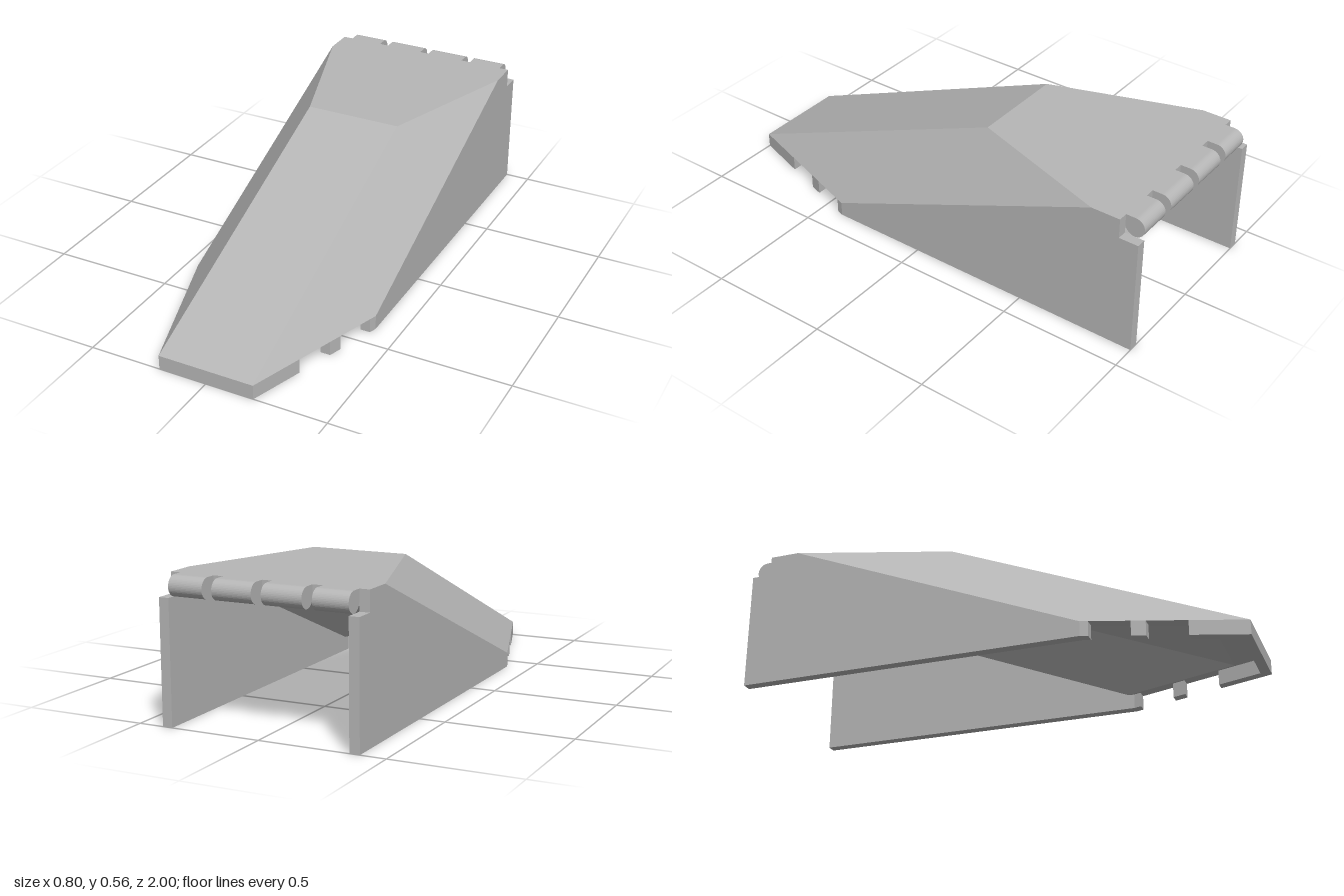
import * as THREE from 'three';

const grey = new THREE.MeshStandardMaterial({ color: 0xb6b6b6 });
grey.name = 'grey plastic';

function polygon(points) {
  return new THREE.Shape(points.map(([a, b]) => new THREE.Vector2(a, b)));
}

// Side profile in (z, y), extruded across x from x0 to x1
function across(shape, x0, x1) {
  return new THREE.ExtrudeGeometry(shape, { depth: x1 - x0, bevelEnabled: false, curveSegments: 16 })
    .rotateY(-Math.PI / 2).translate(x1, 0, 0);
}

// Floor plan in (x, z), raised from y = 0
function raised(plan, height) {
  return new THREE.ExtrudeGeometry(polygon(plan.map(([x, z]) => [x, -z])), { depth: height, bevelEnabled: false })
    .rotateX(-Math.PI / 2);
}

// Faceted roof slab: an outer skin and the same skin lowered inside
function roofGeometry() {
  const t = 0.06, run = 0.144; // thickness, and its length along the slope
  const P = [0, 0.56, -0.92], A = [0.4, 0.56, -0.92], B = [0.4, 0.56, -0.8];
  const C0 = [0, 0.56, -0.2], C = [0.2, 0.56, -0.2];
  const D0 = [0, 0.06, 1], D = [0.2, 0.06, 1], E = [0.4, 0.06, 0.4];
  const down = ([x, y, z]) => [x, y - t, z];
  const back = ([x, y, z]) => [x, y, z - run];
  const [Pi, Ai, Bi, C0i, Ci] = [P, A, B, C0, C].map(down);
  const [D0i, Di, Ei] = [D0, D, E].map(back);
  const faces = [
    [C0, C, B, A, P], [D0, D, C, C0], [D, E, B, C],
    [Pi, Ai, Bi, Ci, C0i], [C0i, Ci, Di, D0i], [Ci, Bi, Ei, Di],
    [D0, D0i, Di, D], [D, Di, Ei, E], [P, A, Ai, Pi],
  ];
  const pos = [];
  for (const s of [1, -1]) {
    for (const face of faces) {
      const f = face.map(([x, y, z]) => [s * x, y, z]);
      if (s < 0) f.reverse();
      for (let i = 1; i < f.length - 1; i++) pos.push(...f[0], ...f[i], ...f[i + 1]);
    }
  }
  const g = new THREE.BufferGeometry();
  g.setAttribute('position', new THREE.Float32BufferAttribute(pos, 3));
  g.computeVertexNormals();
  return g;
}

export function createModel() {
  const model = new THREE.Group();
  model.name = 'slopedCanopy';
  const add = (name, geometry) => {
    const mesh = new THREE.Mesh(geometry, grey);
    mesh.name = name;
    model.add(mesh);
  };

  add('roof', roofGeometry());

  // Side walls, notched at the top rear corner for the hinge
  const wall = polygon([[-1, 0], [0.4, 0], [0.4, 0.06], [-0.8, 0.56], [-0.92, 0.56], [-0.92, 0.48], [-1, 0.48]]);
  add('leftWall', across(wall, 0.36, 0.4));
  add('rightWall', across(wall, -0.4, -0.36));

  // Interrupted rim along the slanted front edges
  const outer = z => 0.2 + (1 - z) / 3;
  const strip = (z0, z1) => [[outer(z0), z0], [outer(z1), z1], [outer(z1) - 0.04, z1], [outer(z0) - 0.04, z0]];
  for (const [side, s] of [['left', 1], ['right', -1]]) {
    const mirror = plan => plan.map(([x, z]) => [s * x, z]);
    add(side + 'WallToe', raised(mirror(strip(0.4, 0.43)), 0.06));
    add(side + 'RimPost', raised(mirror(strip(0.58, 0.633)), 0.06));
  }

  // Front rim, wrapping round both nose corners
  const half = [[0.2, 1], [outer(0.783), 0.783], [outer(0.783) - 0.04, 0.783], [outer(0.96) - 0.04, 0.96]];
  add('frontRim', raised([...half, ...half.map(([x, z]) => [-x, z]).reverse()], 0.06));

  // Hinge barrels: round at the back and below, flush with the roof on top
  const barrel = new THREE.Shape();
  barrel.moveTo(-0.92, 0.56);
  barrel.lineTo(-0.96, 0.56);
  barrel.absarc(-0.96, 0.52, 0.04, Math.PI / 2, Math.PI * 2, false);
  barrel.closePath();
  for (const [x0, x1] of [[-0.36, -0.22], [-0.18, -0.02], [0.02, 0.18], [0.22, 0.36]]) {
    add('hingeBarrel', across(barrel, x0, x1));
  }

  return model;
}
